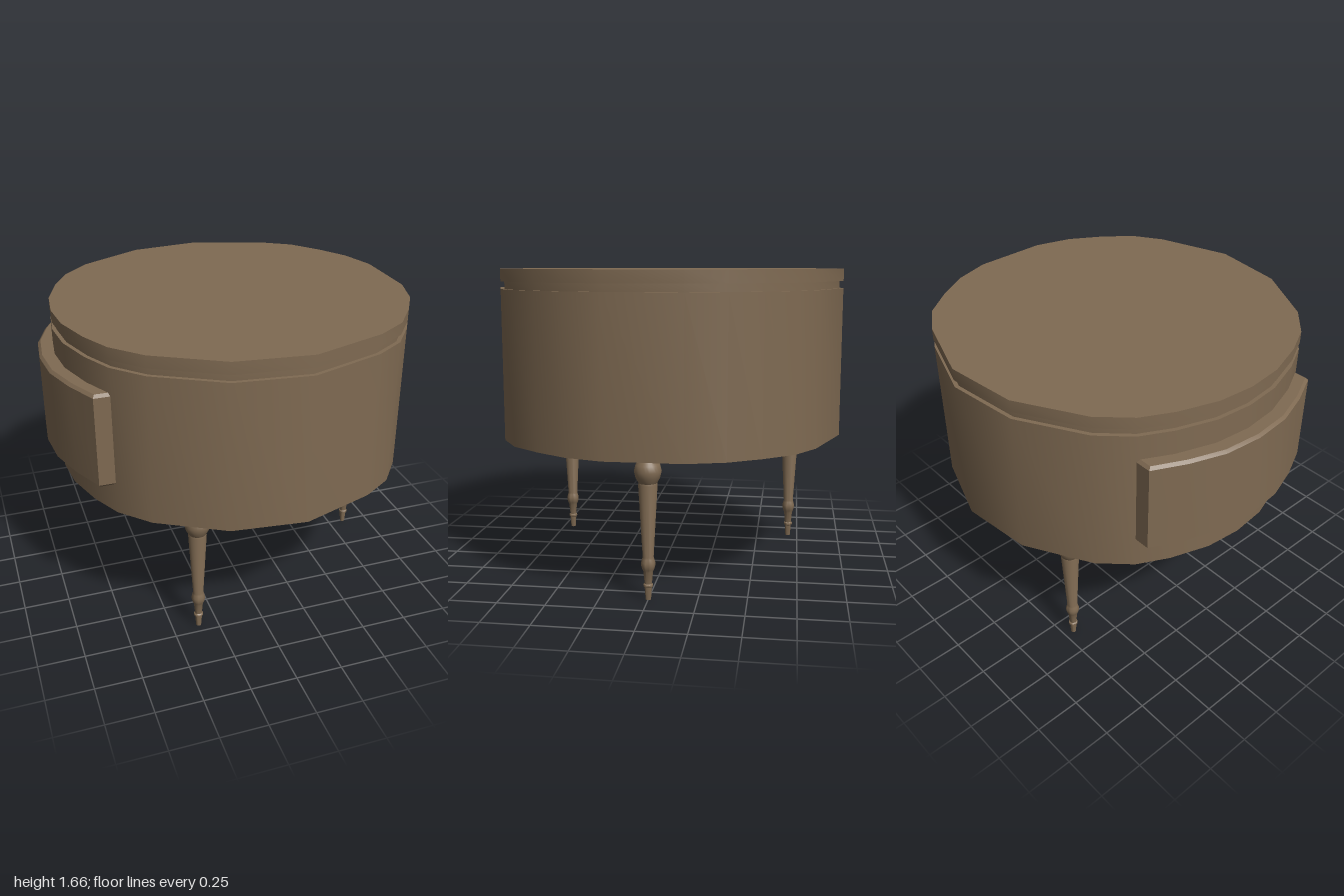
import * as THREE from 'three';
import { toCreasedNormals } from 'three/addons/utils/BufferGeometryUtils.js';

const wood = new THREE.MeshStandardMaterial({ color: 0x7f6a52 });

function add(parent, name, geometry) {
  const mesh = new THREE.Mesh(toCreasedNormals(geometry, 0.6), wood);
  mesh.name = name;
  parent.add(mesh);
  return mesh;
}

// Solid standing on a plan outline of [x, z] points, from y0 to y1
function slab(points, y0, y1, bevel = 0) {
  const shape = new THREE.Shape(points.map(([x, z]) => new THREE.Vector2(x, -z)));
  const geometry = new THREE.ExtrudeGeometry(shape, {
    depth: y1 - y0 - 2 * bevel,
    bevelEnabled: bevel > 0, bevelSize: bevel, bevelThickness: bevel, bevelOffset: -bevel, bevelSegments: 1,
  });
  return geometry.rotateX(-Math.PI / 2).translate(0, y0 + bevel, 0);
}

// Complete a half outline by mirroring it across z = 0
const mirrorZ = (half) => [...half, ...half.filter((p) => p[1] > 0).reverse().map(([x, z]) => [x, -z])];

export function createModel() {
  const model = new THREE.Group();
  model.name = 'roundTable';

  // Faceted drum: body, recessed neck and lid
  const outline = mirrorZ([
    [1, 0.2], [0.94, 0.4], [0.84, 0.565], [0.715, 0.725], [0.55, 0.83], [0.15, 0.965], [-0.25, 0.92],
    [-0.6, 0.725], [-0.745, 0.575], [-0.83, 0.41], [-0.9, 0.2], [-0.92, 0],
  ]);
  const inset = outline.map(([x, z]) => [0.04 + (x - 0.04) * 0.978, z * 0.978]);
  add(model, 'drumBody', slab(outline, 0.745, 1.555));
  add(model, 'recessedNeck', slab(inset, 1.55, 1.6));
  add(model, 'lid', slab(outline, 1.595, 1.66));

  // Curved drawer front with chamfered edges
  const drawer = mirrorZ([
    [-1, 0], [-0.98, 0.21], [-0.915, 0.4], [-0.83, 0.575], [-0.7, 0.575],
  ]);
  add(model, 'drawerFront', slab(drawer, 0.905, 1.42, 0.015));

  // Three turned legs
  const profile = [
    [0, 0], [0.014, 0], [0.019, 0.065], [0.025, 0.07], [0.025, 0.08], [0.019, 0.085], [0.025, 0.15],
    [0.031, 0.162], [0.036, 0.18], [0.036, 0.197], [0.031, 0.215], [0.028, 0.225], [0.049, 0.6], [0.047, 0.61],
    [0.062, 0.637], [0.07, 0.67], [0.062, 0.703], [0.045, 0.724], [0.05, 0.728], [0.085, 0.746],
  ].map(([r, y]) => new THREE.Vector2(r, y));
  for (let i = 0; i < 3; i++) {
    const a = (i * 2 * Math.PI) / 3;
    const leg = add(model, 'leg', new THREE.LatheGeometry(profile, 24));
    leg.position.set(0.045 + 0.8 * Math.cos(a), 0, 0.8 * Math.sin(a));
  }
  return model;
}
